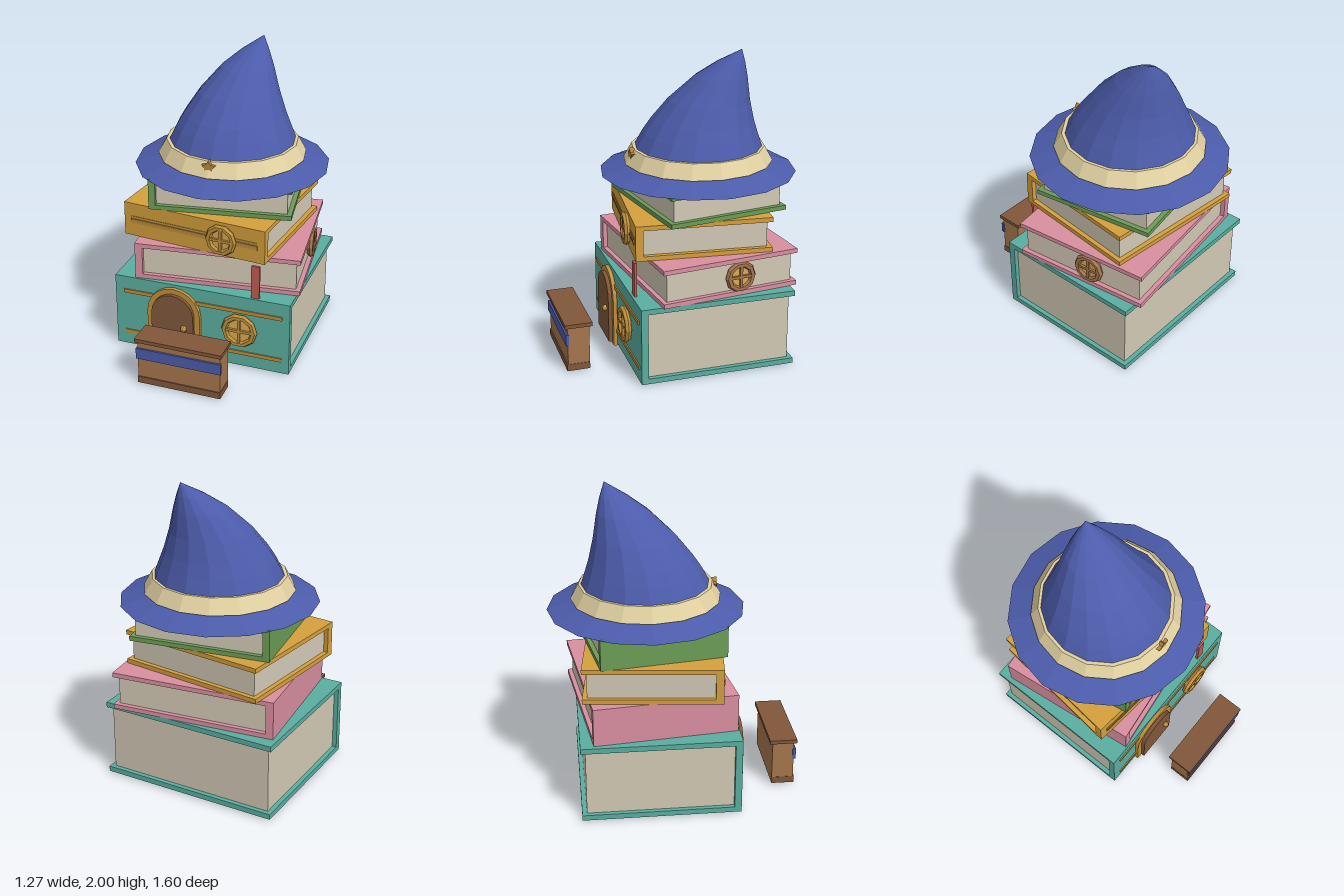
import * as THREE from 'three';

const mat = (color, side = THREE.FrontSide) => new THREE.MeshStandardMaterial({ color, flatShading: true, side });
const M = {
  teal: mat(0x5aaea0), pink: mat(0xd98fa0), yellow: mat(0xd5a03c), green: mat(0x6b9c55),
  page: mat(0xd2c9b5), blue: mat(0x4c5cab, THREE.DoubleSide), tan: mat(0xe2d2a2), gold: mat(0xc0903c),
  pane: mat(0xdcab55), darkGold: mat(0xb5873a), brown: mat(0x80573a), wood: mat(0xa5764c), red: mat(0xbf5b52),
};

function add(parent, name, geometry, material, x = 0, y = 0, z = 0) {
  const mesh = new THREE.Mesh(geometry, material);
  mesh.name = name;
  mesh.position.set(x, y, z);
  parent.add(mesh);
  return mesh;
}

// Box given by its minimum and maximum on each axis
function box(parent, name, material, [x0, x1], [y0, y1], [z0, z1]) {
  return add(parent, name, new THREE.BoxGeometry(x1 - x0, y1 - y0, z1 - z0), material,
    (x0 + x1) / 2, (y0 + y1) / 2, (z0 + z1) / 2);
}

// Book lying flat: spine on +z with length w, fore edge on -z, depth d
function book(name, material, w, d, y0, y1, cover, spine) {
  const g = new THREE.Group();
  g.name = name;
  const a = w / 2, b = d / 2, inset = 0.03;
  box(g, 'bottomCover', material, [-a, a], [y0, y0 + cover], [-b, b]);
  box(g, 'topCover', material, [-a, a], [y1 - cover, y1], [-b, b]);
  box(g, 'spine', material, [-a, a], [y0 + cover, y1 - cover], [b - spine, b]);
  box(g, 'pages', M.page, [-a + inset, a - inset], [y0 + cover, y1 - cover], [-b + inset, b - spine]);
  return g;
}

// Places a book on the stack, turned by angle; sideways puts its spine on -x
function stack(root, b, x, z, angle, sideways = false) {
  const g = new THREE.Group();
  g.name = b.name + 'Group';
  g.position.set(x, 0, z);
  g.rotation.y = angle;
  if (sideways) b.rotation.y = -Math.PI / 2;
  g.add(b);
  root.add(g);
  return g;
}

// Round window facing +z
function roundWindow(parent, r, x, y, z, ringMaterial = M.gold) {
  const g = new THREE.Group();
  g.name = 'roundWindow';
  g.position.set(x, y, z);
  const tube = 0.022;
  add(g, 'windowRing', new THREE.TorusGeometry(r - tube, tube, 6, 10), ringMaterial, 0, 0, 0.018);
  add(g, 'windowPane', new THREE.CylinderGeometry(r - tube, r - tube, 0.03, 10).rotateX(Math.PI / 2).rotateZ(Math.PI / 10), M.pane, 0, 0, 0.005);
  const s = 2 * (r - tube);
  add(g, 'crossBar', new THREE.BoxGeometry(s, 0.018, 0.02), ringMaterial, 0, 0, 0.025);
  add(g, 'uprightBar', new THREE.BoxGeometry(0.018, s, 0.02), ringMaterial, 0, 0, 0.025);
  parent.add(g);
  return g;
}

// Extruded round-topped slab
function arch(half, bottom, spring, depth) {
  const s = new THREE.Shape();
  s.moveTo(-half, bottom);
  s.lineTo(half, bottom);
  s.lineTo(half, spring);
  s.absarc(0, spring, half, 0, Math.PI, false);
  s.closePath();
  return new THREE.ExtrudeGeometry(s, { depth, bevelEnabled: false, curveSegments: 5 });
}

const lathe = (pts) => new THREE.LatheGeometry(pts.map(([x, y]) => new THREE.Vector2(x, y)), 16);

function hat() {
  const g = new THREE.Group();
  g.name = 'hat';
  g.position.z = -0.165;
  add(g, 'brim', lathe([[0, 1.205], [0.635, 1.205], [0.455, 1.268], [0, 1.268]]), M.blue);
  add(g, 'hatBand', lathe([[0.4, 1.275], [0.483, 1.275], [0.43, 1.37], [0.39, 1.37]]), M.tan);
  // Crown leans back and to its left towards the tip
  const crown = lathe([[0.44, 1.265], [0.41, 1.37], [0.37, 1.46], [0.33, 1.54], [0.262, 1.67],
    [0.17, 1.82], [0.09, 1.915], [0, 2]]);
  const p = crown.attributes.position;
  for (let i = 0; i < p.count; i++) {
    const t = Math.max(0, (p.getY(i) - 1.27) / 0.73);
    p.setX(i, p.getX(i) + 0.125 * t ** 3);
    p.setZ(i, p.getZ(i) - 0.245 * t ** 2.2);
  }
  crown.computeVertexNormals();
  add(g, 'crown', crown, M.blue);
  // Small star clasp partly sunk in the band
  const s = new THREE.Shape();
  for (let i = 0; i < 10; i++) {
    const r = i % 2 ? 0.026 : 0.048, a = Math.PI / 2 + i * Math.PI / 5;
    s[i ? 'lineTo' : 'moveTo'](r * Math.cos(a), r * Math.sin(a));
  }
  s.closePath();
  add(g, 'starClasp', new THREE.ExtrudeGeometry(s, { depth: 0.03, bevelEnabled: false }), M.darkGold, 0, 1.336, 0.425);
  return g;
}

export function createModel() {
  const root = new THREE.Group();
  root.name = 'bookTower';

  // Bottom book with door, window and gilt lines on its spine
  stack(root, book('bottomBook', M.teal, 1.2, 1.015, 0.01, 0.52, 0.035, 0.045), -0.02, -0.1225, 0);
  for (const y of [0.108, 0.415]) box(root, 'giltLine', M.gold, [-0.56, 0.53], [y - 0.013, y + 0.013], [0.38, 0.393]);
  add(root, 'doorFrame', arch(0.183, 0, 0.317, 0.09), M.gold, -0.203, 0, 0.32);
  add(root, 'door', arch(0.145, 0.015, 0.32, 0.1), M.brown, -0.203, 0, 0.335);
  add(root, 'doorKnob', new THREE.IcosahedronGeometry(0.022, 1), M.gold, -0.12, 0.24, 0.443);
  roundWindow(root, 0.122, 0.25, 0.285, 0.39);

  // Second book, spine on the right-hand side, window on its page edge
  const second = stack(root, book('secondBook', M.pink, 0.927, 1.088, 0.52, 0.77, 0.03, 0.05), 0.005, -0.15, 0.12, true);
  roundWindow(second, 0.105, 0.515, 0.642, -0.065, M.wood).rotation.y = Math.PI / 2;
  box(root, 'bookmark', M.red, [0.315, 0.37], [0.52, 0.747], [0.353, 0.37]);

  // Third book with a banded spine and window
  const third = stack(root, book('thirdBook', M.yellow, 1, 0.875, 0.77, 1, 0.03, 0.05), -0.05, -0.12, -0.105);
  box(third, 'spineBand', M.gold, [-0.45, 0.45], [0.86, 0.91], [0.43, 0.441]);
  box(third, 'spineBandLine', M.darkGold, [-0.45, 0.45], [0.877, 0.893], [0.43, 0.446]);
  roundWindow(third, 0.108, 0.205, 0.885, 0.438);

  // Top book
  stack(root, book('topBook', M.green, 0.81, 0.92, 1, 1.21, 0.03, 0.045), -0.01, -0.16, 0.158, true);

  root.add(hat());

  // Small closed book-like bench in front of the door
  const bench = new THREE.Group();
  bench.name = 'bench';
  box(bench, 'benchTop', M.brown, [-0.31, 0.27], [0.31, 0.335], [0.62, 0.8]);
  box(bench, 'benchBody', M.wood, [-0.295, 0.257], [0.01, 0.31], [0.64, 0.783]);
  box(bench, 'benchBase', M.brown, [-0.297, 0.26], [0.01, 0.055], [0.642, 0.79]);
  box(bench, 'benchStripe', M.blue, [-0.303, 0.265], [0.19, 0.265], [0.775, 0.795]);
  root.add(bench);
  return root;
}
